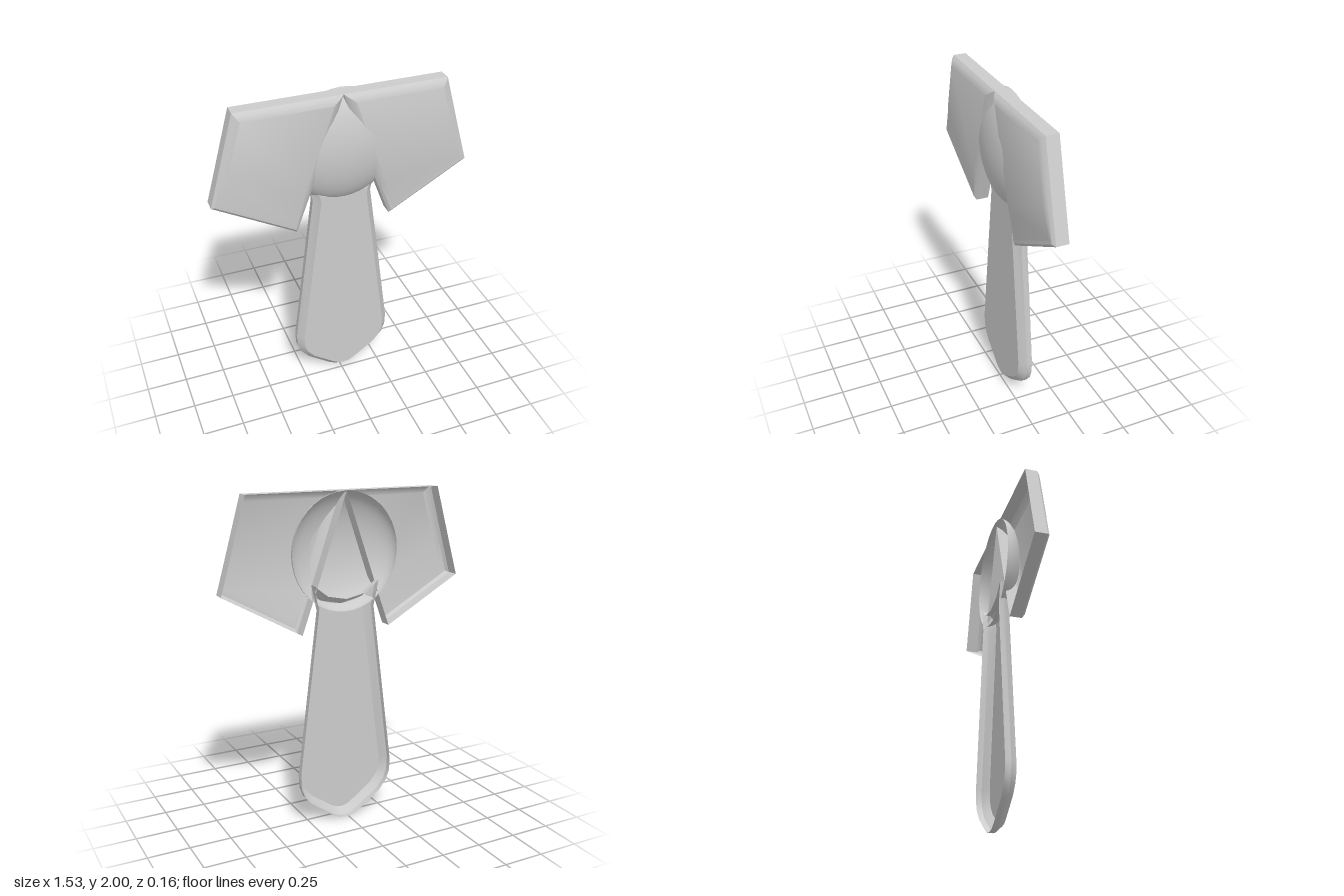
import * as THREE from 'three';
import { toCreasedNormals } from 'three/addons/utils/BufferGeometryUtils.js';

const material = new THREE.MeshStandardMaterial({ color: 0xcccccc, side: THREE.DoubleSide });

// Moves every corner of a counter-clockwise outline inward by d, with mitred corners.
function inset(points, d) {
  const n = points.length;
  const normal = (a, b) => new THREE.Vector2(a.y - b.y, b.x - a.x).normalize();
  return points.map((p, i) => {
    const n1 = normal(points[(i + n - 1) % n], p);
    const n2 = normal(p, points[(i + 1) % n]);
    const miter = n1.clone().add(n2);
    return p.clone().addScaledVector(miter, d / (1 + n1.dot(n2)));
  });
}

// Open-backed shell: rings of [inset, z or z(index)] from back to front, then a front cap.
function shell(name, outline, rings, capFaces, crease) {
  const n = outline.length;
  const positions = [];
  const index = [];
  let front;
  rings.forEach(([d, z], k) => {
    front = inset(outline, d);
    front.forEach((p, i) => positions.push(p.x, p.y, typeof z === 'function' ? z(i) : z));
    if (k === 0) return;
    for (let i = 0; i < n; i++) {
      const a = (k - 1) * n + i;
      const b = (k - 1) * n + (i + 1) % n;
      index.push(a, b, b + n, a, b + n, a + n);
    }
  });
  const base = (rings.length - 1) * n;
  const faces = capFaces || THREE.ShapeUtils.triangulateShape(front, []);
  faces.forEach((f) => index.push(...f.map((i) => base + i)));
  const geometry = new THREE.BufferGeometry();
  geometry.setAttribute('position', new THREE.Float32BufferAttribute(positions, 3));
  geometry.setIndex(index);
  const mesh = new THREE.Mesh(toCreasedNormals(geometry, crease), material);
  mesh.name = name;
  return mesh;
}

const toVectors = (list) => list.map(([x, y]) => new THREE.Vector2(x, y));

export function createModel() {
  const group = new THREE.Group();
  group.name = 'necktieWithCollar';
  const centre = 0.015;

  // Tie blade: right half from bottom to top, mirrored about its centre line
  const half = [
    [0.05, 0.008], [0.09, 0.03], [0.23, 0.13], [0.28, 0.19], [0.303, 0.25], [0.307, 0.33],
    [0.178, 1.33], [0.21, 1.48], [0.12, 1.41],
  ];
  const blade = [
    [centre, 0],
    ...half.map(([x, y]) => [centre + x, y]),
    [centre, 1.385],
    ...half.map(([x, y]) => [centre - x, y]).reverse(),
  ];
  group.add(shell('tieBlade', toVectors(blade), [[0, -0.075], [0, -0.04], [0.038, 0]], null, 0.4));

  // Knot: half ellipsoid pushing forward between the collar flaps
  const dome = new THREE.SphereGeometry(1, 40, 14, 0, Math.PI * 2, 0, Math.PI / 2);
  dome.rotateX(Math.PI / 2);
  dome.scale(0.337, 0.345, 0.145);
  const knot = new THREE.Mesh(dome, material);
  knot.name = 'knot';
  knot.position.set(centre, 1.655, -0.065);
  group.add(knot);

  // Collar flaps: bevelled shells with a soft crease towards the lower edge
  const flap = [[0, 2], [0.207, 1.405], [0.285, 1.19], [0.765, 1.46], [0.707, 1.66], [0.61, 2]];
  const capFaces = [[0, 1, 4], [0, 4, 5], [1, 2, 3], [1, 3, 4]];
  const faceZ = (i) => (i === 2 || i === 3 ? 0.047 : 0.06);
  const rings = [[0, -0.045], [0, 0.03], [0.016, 0.045], [0.045, faceZ]];
  const mirrored = flap.map(([x, y]) => [-x, y]).reverse();
  group.add(shell('leftCollarFlap', toVectors(flap), rings, capFaces, 0.5));
  group.add(shell('rightCollarFlap', toVectors(mirrored), rings, capFaces, 0.5));

  return group;
}
